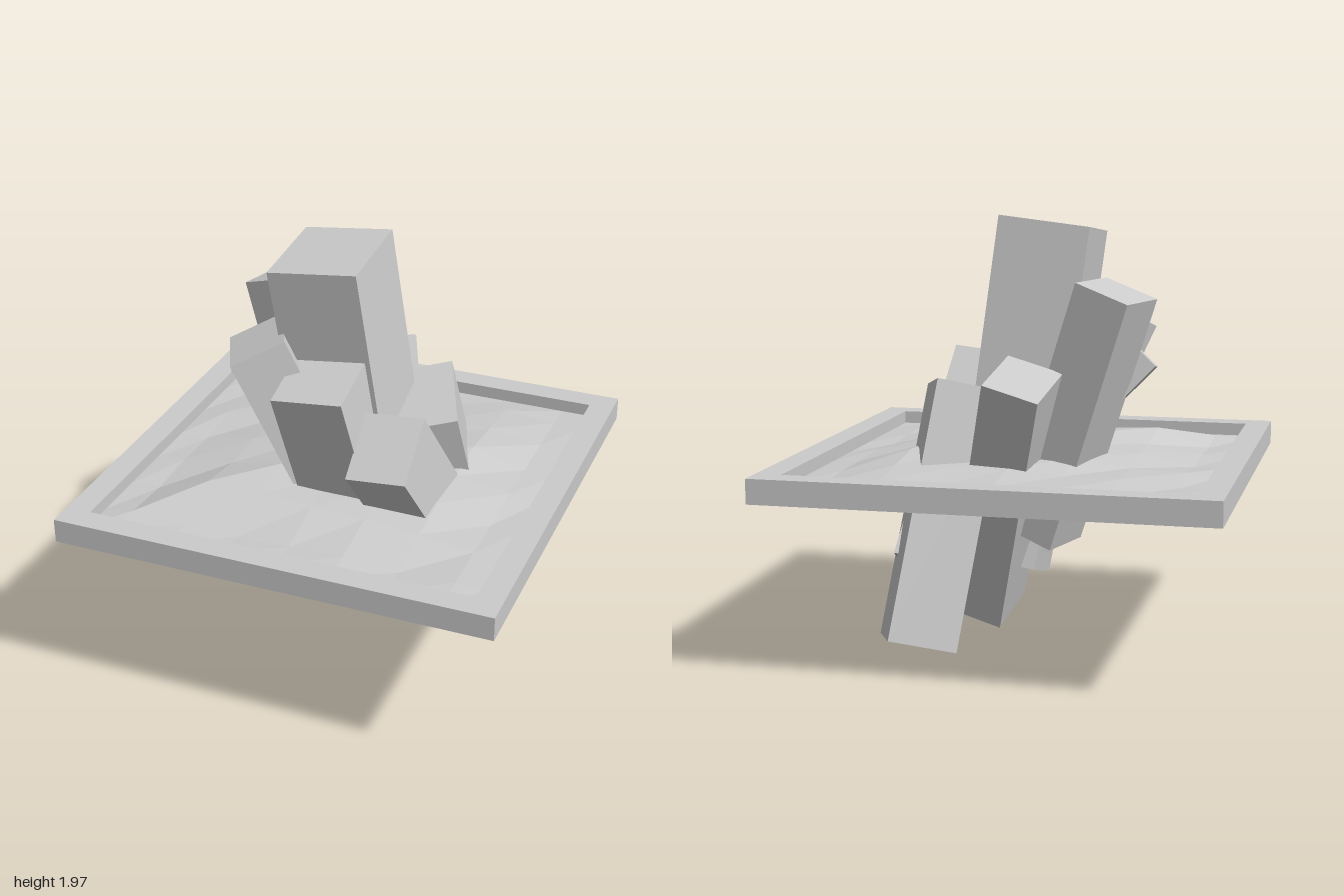
import * as THREE from 'three';

const material = new THREE.MeshStandardMaterial({ color: 0xcccccc, flatShading: true, side: THREE.DoubleSide });

function add(parent, name, geometry) {
  const mesh = new THREE.Mesh(geometry, material);
  mesh.name = name;
  parent.add(mesh);
  return mesh;
}

// A leaning block from its top centre to its bottom centre; side is the rough direction of its width
function shard(parent, name, top, bottom, width, depth, side) {
  const t = new THREE.Vector3(...top), b = new THREE.Vector3(...bottom);
  const up = t.clone().sub(b);
  const length = up.length();
  up.normalize();
  const x = new THREE.Vector3(...side);
  x.addScaledVector(up, -x.dot(up)).normalize();
  const z = x.clone().cross(up);
  const mesh = add(parent, name, new THREE.BoxGeometry(width, length, depth));
  mesh.quaternion.setFromRotationMatrix(new THREE.Matrix4().makeBasis(x, up, z));
  mesh.position.copy(t).add(b).multiplyScalar(0.5);
}

// Faceted ground: heights of the inner grid points in hundredths, back row first
const HEIGHTS = [
  [1, 0, 2, 2, 1, 2, 0],
  [0, 3, 3, 5, 5, 5, 1],
  [2, 3, 7, 7, 7, 8, 1],
  [0, 5, 8, 8, 8, 6, 2],
  [1, 5, 10, 8, 8, 6, 0],
  [0, 9, 8, 7, 6, 4, 1],
  [2, 1, 0, 1, 2, 0, 1],
];

function groundGeometry(half) {
  const g = new THREE.PlaneGeometry(2, 2, 8, 8).rotateX(-Math.PI / 2);
  const p = g.attributes.position;
  for (let i = 0; i < p.count; i++) {
    const col = i % 9, row = Math.floor(i / 9);
    const h = HEIGHTS[row - 1]?.[col - 1] ?? 0;
    p.setXYZ(i,
      THREE.MathUtils.clamp(p.getX(i), -half, half),
      0.85 + h / 100,
      THREE.MathUtils.clamp(p.getZ(i), -half, half));
  }
  return g;
}

export function createModel() {
  const model = new THREE.Group();
  model.name = 'crystalCluster';

  // Square frame with an open middle
  const inner = 0.885;
  const outline = new THREE.Shape([[-1, -1], [1, -1], [1, 1], [-1, 1]].map(([x, y]) => new THREE.Vector2(x, y)));
  outline.holes.push(new THREE.Path([[-1, -1], [-1, 1], [1, 1], [1, -1]].map(([x, y]) => new THREE.Vector2(x * inner, y * inner))));
  const frame = new THREE.ExtrudeGeometry(outline, { depth: 0.11, bevelEnabled: false });
  frame.rotateX(-Math.PI / 2).translate(0, 0.8, 0);
  add(model, 'frame', frame);

  // Ground and the panel beneath it
  add(model, 'ground', groundGeometry(inner));
  add(model, 'basePanel', new THREE.BoxGeometry(1.72, 0.015, 1.72)).position.y = 0.83;

  // Crystals, each passing through the ground
  const crystals = new THREE.Group();
  crystals.name = 'crystals';
  model.add(crystals);
  const list = [
    ['mainCrystal', [-0.09, 1.935, 0.045], [0.05, 0.775, -0.058], 0.413, 0.45, [0.41, 0.05, 0]],
    ['backCrystal', [-0.065, 1.29, -0.47], [0.21, 0.18, -0.04], 0.26, 0.3, [0.25, 0.07, 0.02]],
    ['backRightCrystal', [-0.435, 1.66, -0.265], [-0.075, 0.55, -0.148], 0.264, 0.294, [0.24, 0.085, 0.07]],
    ['frontLeftCrystal', [0.31, 1.23, 0.418], [0.435, 0.35, -0.207], 0.277, 0.326, [0.275, 0.03, 0.01]],
    ['backLeftCrystal', [0.275, 1.2, -0.15], [0.425, 0.08, -0.45], 0.306, 0.436, [0.28, 0.07, -0.1]],
    ['frontCrystal', [-0.02, 1.47, 0.345], [0.13, 0.34, 0.045], 0.333, 0.33, [0.33, 0.04, 0.01]],
    ['frontRightCrystal', [-0.37, 1.54, 0.225], [0.11, 0.48, 0.095], 0.261, 0.355, [0.21, 0.11, -0.11]],
    ['rightCrystal', [-0.48, 1.39, 0], [0.4, 0.48, -0.22], 0.256, 0.2, [0.2, 0.16, 0]],
  ];
  for (const item of list) shard(crystals, ...item);

  return model;
}
